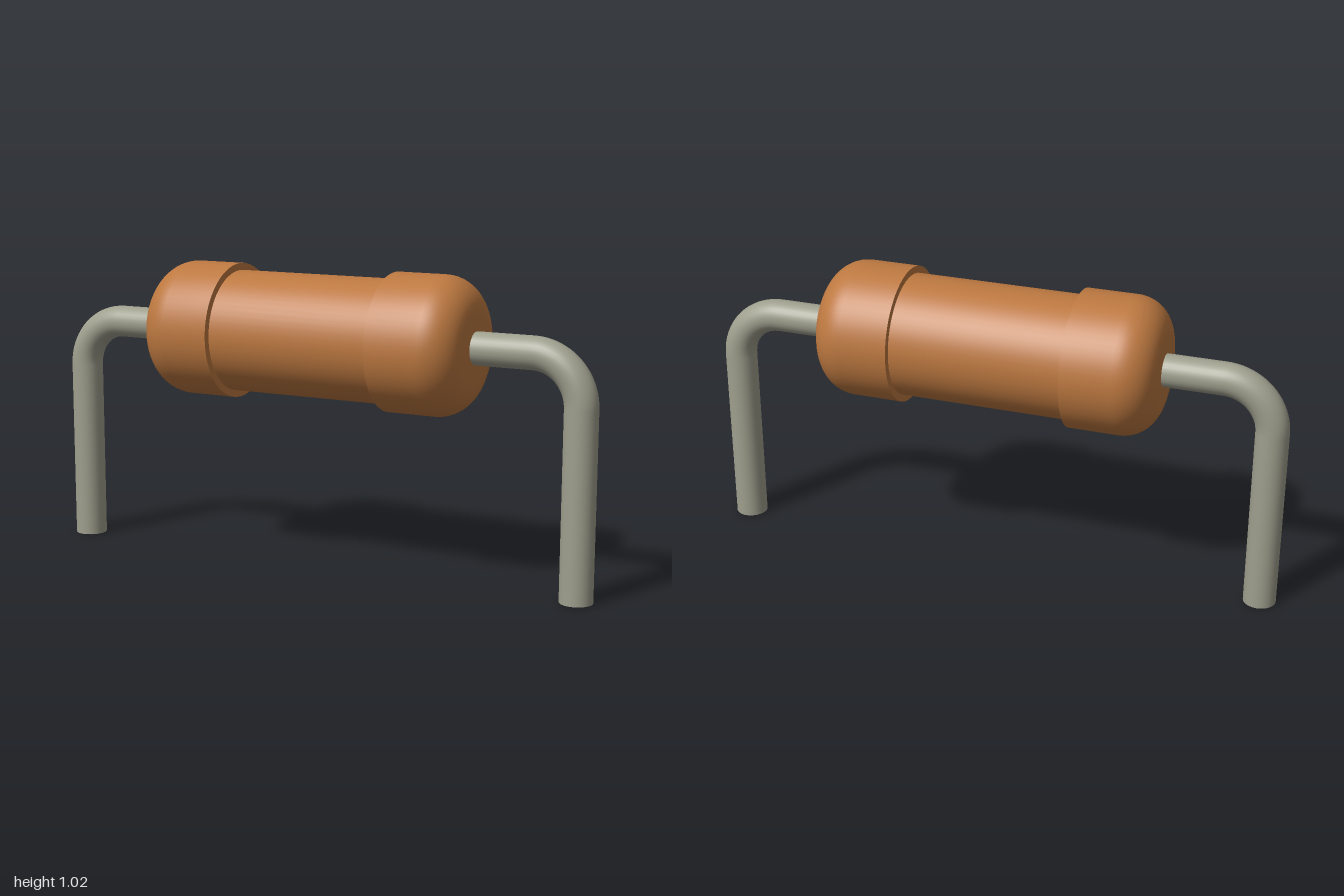
import * as THREE from 'three';
import { toCreasedNormals } from 'three/addons/utils/BufferGeometryUtils.js';

const AXIS_Y = 0.793;      // height of the body axis
const WIRE_R = 0.055;
const WIRE_X = 0.945;      // centre line of each vertical leg
const BEND_R = 0.165;
const CAP = { inner: 0.295, outer: 0.585, radius: 0.231, round: 0.12 };

export function createModel() {
  const model = new THREE.Group();
  model.name = 'resistor';

  const coating = new THREE.MeshStandardMaterial({ color: 0xbc7840 });
  coating.name = 'copper brown coating';
  const metal = new THREE.MeshStandardMaterial({ color: 0x9f9f8e });
  metal.name = 'grey wire';

  const add = (parent, name, geometry, material, x, y, turn = 0) => {
    const mesh = new THREE.Mesh(geometry, material);
    mesh.name = name;
    mesh.position.set(x, y, 0);
    mesh.rotation.z = turn;
    parent.add(mesh);
  };

  // Middle barrel, lying along x
  const barrel = new THREE.CylinderGeometry(0.207, 0.207, 0.62, 64);
  add(model, 'barrel', barrel, coating, 0, AXIS_Y, -Math.PI / 2);

  // End cap profile: flat inner rim, straight wall, rounded outer edge
  const profile = [
    new THREE.Vector2(0, CAP.inner),
    new THREE.Vector2(CAP.radius, CAP.inner),
  ];
  for (let i = 0; i <= 12; i++) {
    const a = (i / 12) * Math.PI / 2;
    profile.push(new THREE.Vector2(
      CAP.radius - CAP.round * (1 - Math.cos(a)),
      CAP.outer - CAP.round * (1 - Math.sin(a))
    ));
  }
  profile.push(new THREE.Vector2(0, CAP.outer));
  const capGeometry = toCreasedNormals(new THREE.LatheGeometry(profile, 64), 0.6);

  // Wire pieces: horizontal lead, quarter bend, vertical leg
  const bendX = WIRE_X - BEND_R;
  const bendY = AXIS_Y - BEND_R;
  const leadStart = CAP.outer - 0.04;
  const leadLength = bendX - leadStart;
  const lead = new THREE.CylinderGeometry(WIRE_R, WIRE_R, leadLength, 32, 1, true);
  const bend = new THREE.TorusGeometry(BEND_R, WIRE_R, 32, 20, Math.PI / 2);
  const leg = new THREE.CylinderGeometry(WIRE_R, WIRE_R, bendY, 32);

  // The right half is the left half turned about y
  for (const side of ['left', 'right']) {
    const half = new THREE.Group();
    half.name = side + 'End';
    if (side === 'right') half.rotation.y = Math.PI;
    add(half, side + 'Cap', capGeometry, coating, 0, AXIS_Y, -Math.PI / 2);
    add(half, side + 'Lead', lead, metal, leadStart + leadLength / 2, AXIS_Y, -Math.PI / 2);
    add(half, side + 'Bend', bend, metal, bendX, bendY);
    add(half, side + 'Leg', leg, metal, WIRE_X, bendY / 2);
    model.add(half);
  }

  return model;
}
